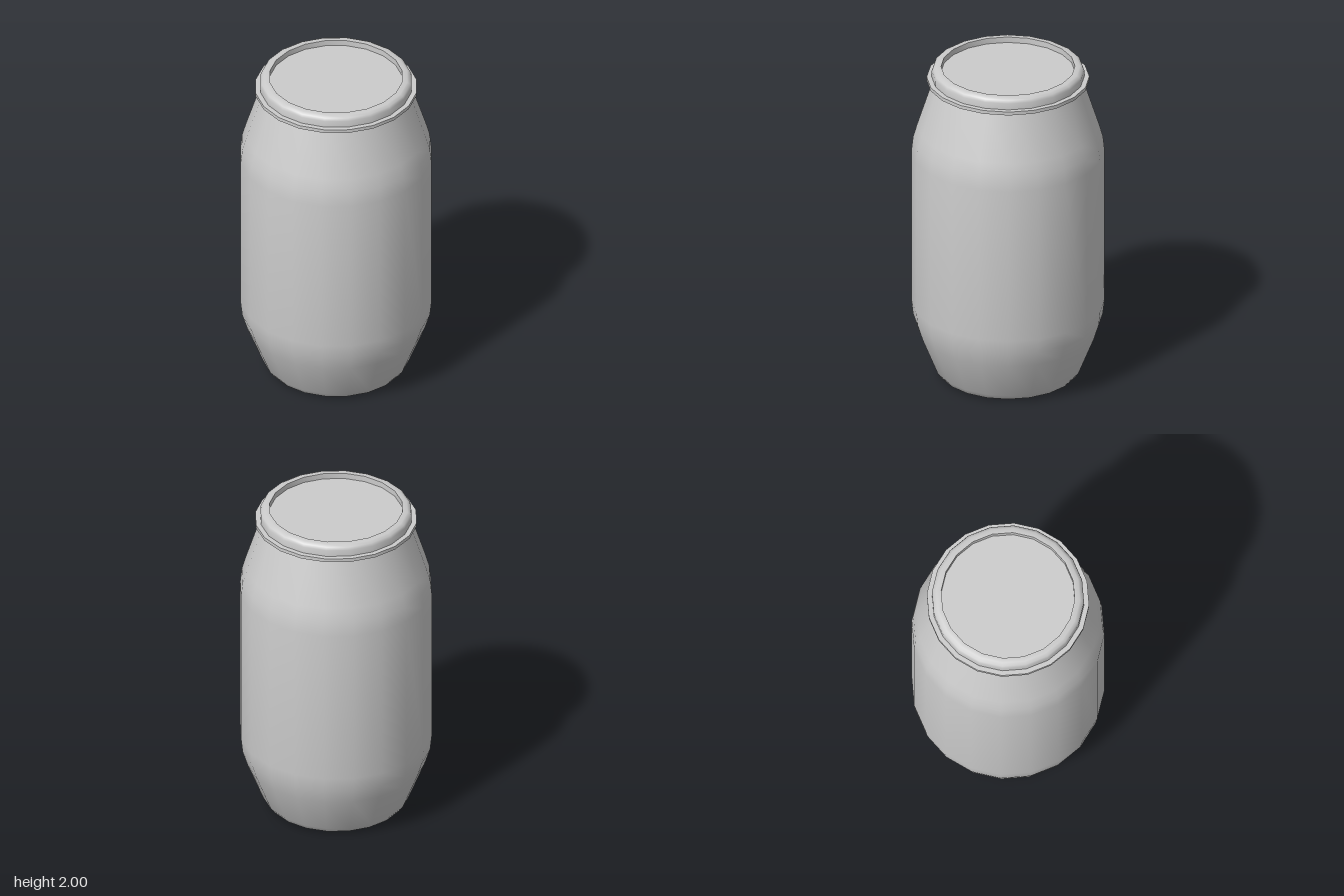
import * as THREE from 'three';
import { toCreasedNormals } from 'three/addons/utils/BufferGeometryUtils.js';

const SIDES = 20;

// Revolves a [radius, height] profile, smooth except at sharp edges
function turned(name, profile, material) {
  const points = profile.map(([r, y]) => new THREE.Vector2(r, y));
  const geometry = toCreasedNormals(new THREE.LatheGeometry(points, SIDES), THREE.MathUtils.degToRad(42));
  const mesh = new THREE.Mesh(geometry, material);
  mesh.name = name;
  return mesh;
}

export function createModel() {
  const group = new THREE.Group();
  group.name = 'barrel';
  const material = new THREE.MeshStandardMaterial({ color: 0xcccccc });

  // Closed base, tapered foot, straight wall and sloping shoulder
  group.add(turned('body', [
    [0, 0], [0.38, 0], [0.41, 0.015], [0.436, 0.05], [0.53, 0.285],
    [0.56, 0.38], [0.57, 0.47], [0.57, 1.45], [0.56, 1.54],
    [0.537, 1.62], [0.44, 1.92],
  ], material));

  // Flat clamping ring around the neck
  group.add(turned('clampRing', [
    [0.43, 1.91], [0.48, 1.91], [0.48, 1.932], [0.44, 1.932],
  ], material));

  // Lid with a rounded rim and a recessed centre
  group.add(turned('lid', [
    [0.45, 1.925], [0.45, 1.972], [0.443, 1.99], [0.425, 2],
    [0.395, 2], [0.395, 1.964], [0, 1.964],
  ], material));

  return group;
}
